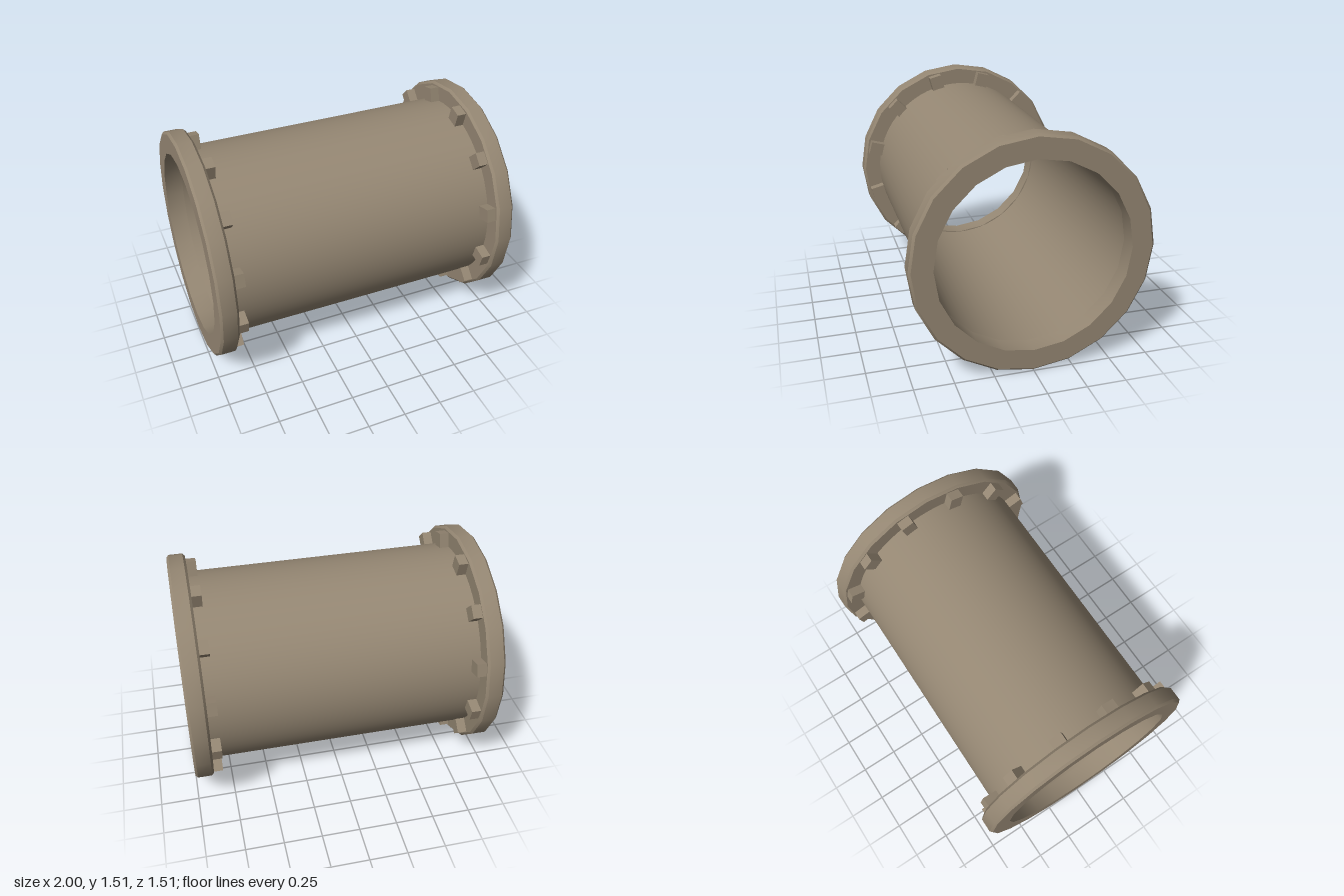
import * as THREE from 'three';
import { toCreasedNormals } from 'three/addons/utils/BufferGeometryUtils.js';

const CENTER_Y = 0.755;

// Closed ring profile of [radius, x] points, revolved around the x axis
function revolve(points, sides) {
  const profile = [...points, points[0]].map(([r, x]) => new THREE.Vector2(r, x));
  const geometry = new THREE.LatheGeometry(profile, sides);
  geometry.rotateZ(-Math.PI / 2);
  return toCreasedNormals(geometry, 0.5);
}

export function createModel() {
  const model = new THREE.Group();
  model.name = 'flangedPipe';
  const metal = new THREE.MeshStandardMaterial({ color: 0x958773 });
  metal.name = 'dull tan metal';

  const assembly = new THREE.Group();
  assembly.name = 'pipeAssembly';
  assembly.position.y = CENTER_Y;
  model.add(assembly);

  const add = (geometry, name, parent) => {
    const mesh = new THREE.Mesh(geometry, metal);
    mesh.name = name;
    parent.add(mesh);
    return mesh;
  };

  // Hollow smooth tube, its ends buried in the flanges
  add(revolve([[0.63, -0.97], [0.63, 0.97], [0.612, 0.97], [0.612, -0.97]], 64), 'tube', assembly);

  // Chamfered twenty-sided flange and square bolt heads
  const flangeGeometry = revolve([
    [0.74, 0.88], [0.755, 0.895], [0.755, 0.985], [0.74, 1],
    [0.61, 1], [0.61, 0.88],
  ], 20);
  const boltGeometry = new THREE.BoxGeometry(0.08, 0.105, 0.088);

  for (const side of ['left', 'right']) {
    const end = new THREE.Group();
    end.name = side + 'End';
    if (side === 'right') end.rotation.y = Math.PI;
    assembly.add(end);
    add(flangeGeometry, side + 'Flange', end);

    // Twelve bolts around the inner face of the flange
    for (let i = 0; i < 12; i++) {
      const angle = THREE.MathUtils.degToRad(15 + i * 30);
      const bolt = add(boltGeometry, side + 'Bolt' + (i + 1), end);
      bolt.position.set(0.858, 0.6725 * Math.cos(angle), 0.6725 * Math.sin(angle));
      bolt.rotation.x = angle;
    }
  }
  return model;
}
